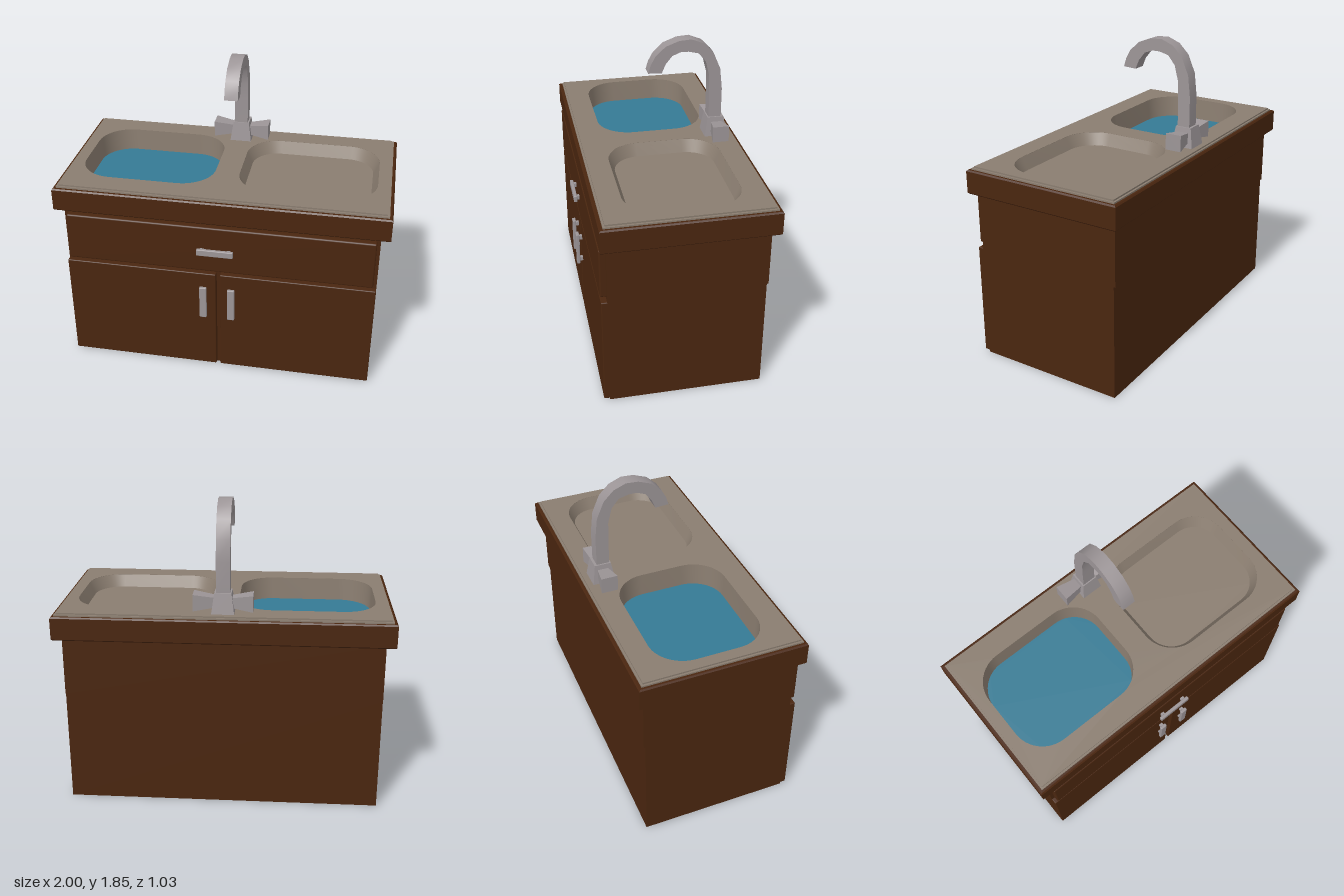
import * as THREE from 'three';
import { RoundedBoxGeometry } from 'three/addons/geometries/RoundedBoxGeometry.js';
import { toCreasedNormals } from 'three/addons/utils/BufferGeometryUtils.js';

const mat = (name, color) => {
  const m = new THREE.MeshStandardMaterial({ color });
  m.name = name;
  return m;
};

export function createModel() {
  const model = new THREE.Group();
  model.name = 'sinkCabinet';
  const wood = mat('darkWood', 0x4a260f);
  const basinMat = mat('basinStone', 0x8a7d70);
  basinMat.side = THREE.DoubleSide;
  const metal = mat('metal', 0x9c9597);
  const water = mat('water', 0x357a94);

  const add = (name, geo, material, parent = model) => {
    const mesh = new THREE.Mesh(geo, material);
    mesh.name = name;
    parent.add(mesh);
    return mesh;
  };
  // Box given by its limits; a radius gives softened edges
  const box = (name, material, [x0, x1], [y0, y1], [z0, z1], r = 0, parent = model) => {
    const s = [x1 - x0, y1 - y0, z1 - z0];
    const geo = r ? new RoundedBoxGeometry(...s, 2, r) : new THREE.BoxGeometry(...s);
    add(name, geo, material, parent).position.set((x0 + x1) / 2, (y0 + y1) / 2, (z0 + z1) / 2);
  };
  // Plan outline in (x, -z), with rounded corners when r > 0
  const outline = (x0, x1, z0, z1, r = 0) => {
    const s = new THREE.Shape();
    const a = -z1, b = -z0;
    if (!r) {
      s.moveTo(x0, a).lineTo(x1, a).lineTo(x1, b).lineTo(x0, b).closePath();
      return s;
    }
    s.absarc(x1 - r, a + r, r, -Math.PI / 2, 0);
    s.absarc(x1 - r, b - r, r, 0, Math.PI / 2);
    s.absarc(x0 + r, b - r, r, Math.PI / 2, Math.PI);
    s.absarc(x0 + r, a + r, r, Math.PI, Math.PI * 1.5);
    return s;
  };
  const slab = (shape, y, height, bevel = 0) => new THREE.ExtrudeGeometry(shape, {
    depth: height - 2 * bevel, curveSegments: 6, bevelEnabled: bevel > 0,
    bevelSize: bevel, bevelThickness: bevel, bevelOffset: -bevel, bevelSegments: 1,
  }).rotateX(-Math.PI / 2).translate(0, y + bevel, 0);
  const sheet = (shape, y) =>
    new THREE.ShapeGeometry(shape, 6).rotateX(-Math.PI / 2).translate(0, y, 0);

  // Cabinet body
  box('lowerCabinet', wood, [-0.945, 0.945], [0, 0.70], [-0.47, 0.44]);
  box('upperCabinet', wood, [-0.945, 0.945], [0.70, 1.06], [-0.48, 0.44]);
  box('drawerFront', wood, [-0.925, 0.925], [0.725, 1.03], [0.43, 0.478], 0.01);
  box('rightDoor', wood, [-0.945, -0.014], [0.01, 0.70], [0.43, 0.475], 0.006);
  box('leftDoor', wood, [0.011, 0.945], [0.01, 0.70], [0.43, 0.475], 0.006);

  // Bar handles on two posts
  const handle = (name, x, y, w, h) => {
    const g = new THREE.Group();
    g.name = name;
    model.add(g);
    box('bar', metal, [x - w / 2, x + w / 2], [y - h / 2, y + h / 2], [0.494, 0.515], 0.005, g);
    for (const s of [-1, 1]) {
      const px = w > h ? x + s * (w / 2 - 0.03) : x;
      const py = w > h ? y : y + s * (h / 2 - 0.03);
      box('post', metal, [px - 0.012, px + 0.012], [py - 0.012, py + 0.012], [0.47, 0.5], 0, g);
    }
  };
  handle('drawerHandle', -0.013, 0.875, 0.22, 0.042);
  handle('rightDoorHandle', -0.088, 0.51, 0.044, 0.22);
  handle('leftDoorHandle', 0.084, 0.51, 0.044, 0.22);

  // Wooden counter frame
  const frame = outline(-1, 1, -0.52, 0.478);
  frame.holes.push(outline(-0.94, 0.94, -0.46, 0.42));
  add('counterFrame', slab(frame, 1.053, 0.145, 0.008), wood);

  // Sink top, stepped at the edge and cut for the basins
  const basins = [
    { name: 'rightBasin', rim: [-0.90, -0.08, -0.355, 0.305], inset: 0.008, depth: 0.145 },
    { name: 'leftBasin', rim: [0.07, 0.90, -0.36, 0.315], inset: 0.035, depth: 0.075 },
  ];
  for (const [name, e, y, h] of [['sinkTopEdge', 0, 1.19, 0.017], ['sinkTop', 0.012, 1.207, 0.009]]) {
    const plate = outline(-0.98 + e, 0.98 - e, -0.50 + e, 0.457 - e);
    for (const b of basins) plate.holes.push(outline(...b.rim, 0.2));
    add(name, slab(plate, y, h), basinMat);
  }

  // Basin walls lofted from rim to floor
  for (const { name, rim: [x0, x1, z0, z1], inset: i, depth } of basins) {
    const floor = outline(x0 + i, x1 - i, z0 + i, z1 - i, 0.2 - i);
    const top = outline(x0, x1, z0, z1, 0.2).getPoints(6);
    const low = floor.getPoints(6);
    const y = 1.216 - depth;
    const pos = [], index = [];
    top.forEach((p, k) => {
      pos.push(p.x, 1.215, -p.y, low[k].x, y, -low[k].y);
      const a = 2 * k, c = 2 * ((k + 1) % top.length);
      index.push(a, c, a + 1, c, c + 1, a + 1);
    });
    const wall = new THREE.BufferGeometry();
    wall.setAttribute('position', new THREE.Float32BufferAttribute(pos, 3));
    wall.setIndex(index);
    add(name + 'Wall', toCreasedNormals(wall, 0.6), basinMat);
    add(name + 'Floor', sheet(floor, y), basinMat);
    if (name === 'rightBasin') add('water', sheet(floor, y + 0.006), water);
  }

  // Tap: tapered base, flared knobs and a square-section spout
  const tap = new THREE.Group();
  tap.name = 'tap';
  model.add(tap);
  const taper = (name, low, high, h) => {
    const geo = new THREE.BoxGeometry(1, h, 1);
    const p = geo.attributes.position;
    for (let k = 0; k < p.count; k++) {
      const [w, d] = p.getY(k) > 0 ? high : low;
      p.setX(k, p.getX(k) * w);
      p.setZ(k, p.getZ(k) * d);
    }
    geo.computeVertexNormals();
    return add(name, geo, metal, tap);
  };
  taper('tapBase', [0.135, 0.14], [0.1, 0.1], 0.125).position.set(0, 1.274, -0.385);
  for (const s of [-1, 1]) {
    const knob = taper(s > 0 ? 'leftKnob' : 'rightKnob', [0.055, 0.06], [0.1, 0.1], 0.14);
    knob.rotation.z = -s * Math.PI / 2;
    knob.position.set(s * 0.105, 1.276, -0.388);
  }
  const side = [
    [-0.42, 1.28], [-0.42, 1.52], [-0.405, 1.65], [-0.36, 1.755], [-0.30, 1.815], [-0.225, 1.845],
    [-0.15, 1.84], [-0.07, 1.81], [-0.01, 1.755], [0.02, 1.70], [0.035, 1.65],
    [-0.047, 1.645], [-0.07, 1.70], [-0.11, 1.75], [-0.16, 1.77], [-0.21, 1.77], [-0.27, 1.755],
    [-0.315, 1.70], [-0.338, 1.61], [-0.342, 1.50], [-0.342, 1.28],
  ].map(([z, y]) => new THREE.Vector2(-z, y));
  const spout = new THREE.ExtrudeGeometry(new THREE.Shape(side), { depth: 0.082, bevelEnabled: false })
    .translate(0, 0, -0.041).rotateY(Math.PI / 2);
  add('spout', toCreasedNormals(spout, 0.6), metal, tap);

  return model;
}
